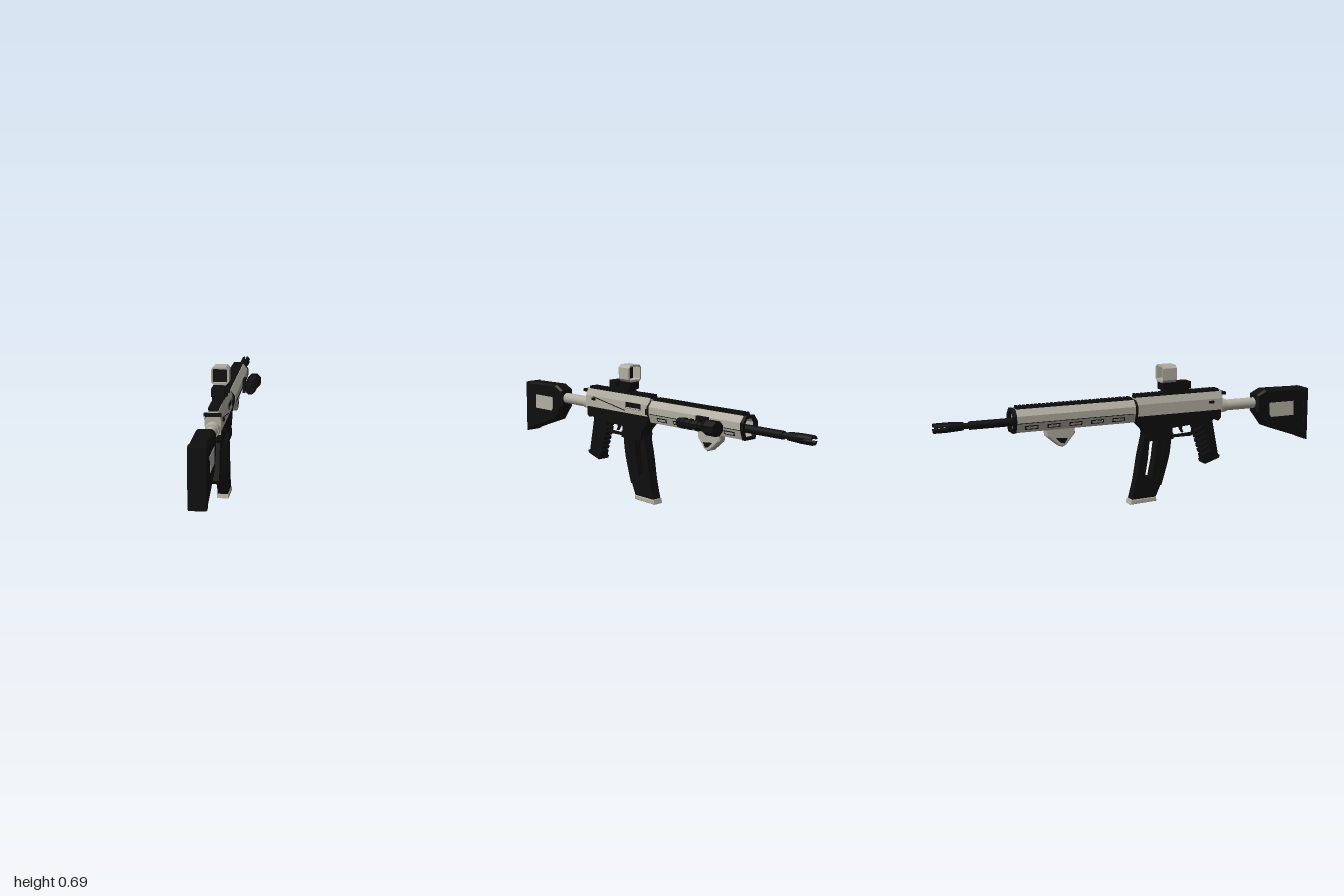
import * as THREE from 'three';

export function createModel() {
  const black = new THREE.MeshStandardMaterial({ color: 0x0e0e0e });
  black.name = 'matte black';
  const grey = new THREE.MeshStandardMaterial({ color: 0xb2aea2 });
  grey.name = 'warm grey';

  const root = new THREE.Group();
  root.name = 'rifle';
  const body = new THREE.Group();
  body.name = 'body';
  body.position.x = -0.042; // the side light offsets the centre line
  root.add(body);

  const add = (name, geo, mat, x = 0, y = 0, z = 0) => {
    const m = new THREE.Mesh(geo, mat);
    m.name = name;
    m.position.set(x, y, z);
    body.add(m);
    return m;
  };
  const poly = (pts) => pts.map(([a, b]) => new THREE.Vector2(a, b));
  const extrude = (pts, depth, holes = [], bevel = 0) => {
    const s = new THREE.Shape(poly(pts));
    holes.forEach((h) => s.holes.push(new THREE.Path(poly(h))));
    return new THREE.ExtrudeGeometry(s, {
      depth: depth - 2 * bevel, bevelEnabled: bevel > 0, bevelSize: bevel,
      bevelThickness: bevel, bevelOffset: -bevel, bevelSegments: 1,
    }).translate(0, 0, bevel);
  };
  // Side profile in (z, y), extruded across x and centred
  const side = (name, pts, width, mat, holes, bevel) =>
    add(name, extrude(pts, width, holes, bevel).translate(0, 0, -width / 2).rotateY(-Math.PI / 2), mat);
  // Cross-section in (x, y), running from z0 to z1
  const run = (name, pts, z0, z1, mat, holes) =>
    add(name, extrude(pts, z1 - z0, holes), mat, 0, 0, z0);
  const box = (name, w, h, d, mat, x, y, z) =>
    add(name, new THREE.BoxGeometry(w, h, d), mat, x, y, z);
  // Cylinder along z between z0 (radius r0) and z1 (radius r1)
  const rod = (name, r0, r1, z0, z1, mat, x, y, sides = 20) => {
    let g = new THREE.CylinderGeometry(r1, r0, z1 - z0, sides).rotateY(Math.PI / sides).rotateX(Math.PI / 2);
    if (sides < 10) {
      g = g.toNonIndexed();
      g.computeVertexNormals();
    }
    return add(name, g, mat, x, y, (z0 + z1) / 2);
  };
  const chamfered = (w, h, c, cy) => [
    [-w + c, cy - h], [w - c, cy - h], [w, cy - h + c], [w, cy + h - c],
    [w - c, cy + h], [-w + c, cy + h], [-w, cy + h - c], [-w, cy - h + c]];

  // Stock with side panels and butt pad
  side('stock', [[0.98, 0.255], [0.985, 0.525], [0.74, 0.53], [0.69, 0.505], [0.69, 0.415], [0.75, 0.335]],
    0.083, black, [], 0.01);
  side('buttPad', [[1, 0.245], [1, 0.52], [0.97, 0.528], [0.97, 0.255]], 0.084, black, [], 0.004);
  side('stockPanel', [[0.91, 0.385], [0.91, 0.46], [0.765, 0.46], [0.765, 0.4], [0.775, 0.385]], 0.087, grey);
  // Tube joining the stock to the receiver
  rod('stockTube', 0.028, 0.028, 0.49, 0.71, grey, 0, 0.46);
  rod('tubeCollar', 0.038, 0.032, 0.48, 0.525, grey, 0, 0.46);

  // Upper receiver
  run('upperReceiver', [[-0.037, 0.435], [0.037, 0.435], [0.037, 0.505], [0.024, 0.54], [-0.024, 0.54], [-0.037, 0.505]],
    0.012, 0.49, grey);
  box('ejectionPort', 0.006, 0.032, 0.11, black, 0.036, 0.488, 0.125);
  box('portDoor', 0.004, 0.006, 0.1, grey, 0.038, 0.476, 0.125);
  box('sideSeam', 0.003, 0.004, 0.25, black, 0.037, 0.48, 0.31).rotation.x = -0.17;
  box('boltCatch', 0.006, 0.03, 0.02, black, 0.037, 0.47, 0.025);
  box('chargingHandle', 0.08, 0.014, 0.02, black, 0, 0.53, 0.497);
  for (const s of [-1, 1]) {
    box('selector', 0.012, 0.012, 0.025, black, s * 0.04, 0.49, 0.425);
    box('pin', 0.01, 0.01, 0.012, black, s * 0.04, 0.425, 0.36);
  }

  // Lower receiver with magazine well
  side('lowerReceiver', [[0.48, 0.447], [0.48, 0.405], [0.465, 0.39], [0.45, 0.405], [0.42, 0.39], [0.205, 0.375],
    [0.205, 0.322], [0.078, 0.322], [0.06, 0.37], [0.025, 0.405], [0.01, 0.447]], 0.076, black);
  side('wellCollar', [[0.21, 0.35], [0.21, 0.318], [0.07, 0.318], [0.062, 0.35]], 0.08, black);
  side('triggerGuard', [[0.35, 0.395], [0.338, 0.335], [0.325, 0.32], [0.2, 0.32], [0.2, 0.395]], 0.026, black,
    [[[0.33, 0.38], [0.32, 0.34], [0.215, 0.335], [0.21, 0.375]]]);
  side('trigger', [[0.285, 0.39], [0.275, 0.36], [0.285, 0.34], [0.275, 0.34], [0.262, 0.36], [0.265, 0.39]], 0.012, black);

  // Pistol grip with finger grooves along its front edge
  const grip = [[0.435, 0.405], [0.475, 0.205], [0.395, 0.175]];
  for (let i = 0; i < 6; i++) {
    const y = 0.215 + i * 0.026, z = 0.385 - i * 0.0085;
    grip.push([z, y], [z + 0.045, y + 0.024], [z + 0.044, y + 0.03], [z - 0.003, y + 0.009]);
  }
  grip.push([0.335, 0.395]);
  side('grip', grip, 0.052, black);
  side('gripCap', [[0.48, 0.21], [0.476, 0.195], [0.396, 0.17], [0.39, 0.185]], 0.066, black);

  // Curved magazine with an open window
  const curve = (pts) => new THREE.SplineCurve(poly(pts)).getPoints(10).map((p) => [p.x, p.y]);
  side('magazine', [
    ...curve([[0.2, 0.34], [0.19, 0.24], [0.16, 0.12], [0.117, 0.02]]),
    ...curve([[-0.01, 0.02], [0.015, 0.12], [0.035, 0.24], [0.058, 0.34]])], 0.052, black,
  [[[0.128, 0.315], [0.085, 0.315], [0.076, 0.22], [0.06, 0.13], [0.098, 0.13], [0.116, 0.22]]]);
  side('magazineSpine', [
    ...curve([[0.204, 0.32], [0.194, 0.24], [0.17, 0.15], [0.15, 0.085]]),
    ...curve([[0.115, 0.085], [0.135, 0.15], [0.155, 0.24], [0.165, 0.32]])], 0.06, black);
  side('magazineFloor', [[0.125, 0.005], [0.12, 0.027], [-0.015, 0.024], [-0.021, 0]], 0.06, grey, [], 0.003);

  // Hollow eight-sided handguard
  const guard = (k, cy = 0.472) => [[-0.034, 0.42], [0.034, 0.42], [0.049, 0.465], [0.049, 0.5], [0.026, 0.53],
    [-0.026, 0.53], [-0.049, 0.5], [-0.049, 0.465]].map(([x, y]) => [x * k, cy + (y - cy) * k]);
  run('handguard', guard(1), -0.615, 0, grey, [guard(0.82)]);
  run('handguardFrontBand', guard(1.04), -0.63, -0.612, black, [guard(0.8)]);
  run('handguardRearBand', guard(0.97), -0.002, 0.014, black);
  for (const s of [-1, 1]) {
    for (let i = 0; i < 5; i++) {
      const z = -0.09 - i * 0.112;
      const rim = box('ventRim', 0.004, 0.02, 0.066, black, s * 0.0417, 0.443, z);
      const slot = box('ventSlot', 0.006, 0.011, 0.054, grey, s * 0.0417, 0.443, z);
      rim.rotation.z = slot.rotation.z = -s * 0.32;
    }
    box('handguardSeam', 0.003, 0.003, 0.6, black, s * 0.0485, 0.465, -0.31);
  }

  // Toothed top rails
  const rail = (z0, z1, y) => {
    box('railBase', 0.044, 0.012, z1 - z0, black, 0, y, (z0 + z1) / 2);
    const n = Math.round((z1 - z0) / 0.02);
    for (let i = 0; i < n; i++) {
      box('railTooth', 0.05, 0.009, 0.011, black, 0, y + 0.009, z0 + (i + 0.5) * (z1 - z0) / n);
    }
  };
  rail(-0.605, -0.005, 0.529);
  rail(0.01, 0.475, 0.541);

  // Barrel and pronged muzzle
  rod('barrel', 0.02, 0.02, -0.83, 0, black, 0, 0.468);
  rod('muzzleNeck', 0.014, 0.014, -0.87, -0.82, black, 0, 0.468);
  rod('muzzleBase', 0.024, 0.02, -0.93, -0.86, black, 0, 0.468);
  for (let i = 0; i < 4; i++) {
    const a = i * Math.PI / 2 + 0.24, b = a + Math.PI / 2 - 0.48;
    const s = new THREE.Shape();
    s.absarc(0, 0, 0.024, a, b, false);
    s.absarc(0, 0, 0.014, b, a, true);
    add('muzzleProng', new THREE.ExtrudeGeometry(s, { depth: 0.075, bevelEnabled: false, curveSegments: 6 }),
      black, 0, 0.468, -1);
  }

  // Optic: clamp, base and square hood
  box('opticClamp', 0.058, 0.022, 0.13, black, 0, 0.56, 0.235);
  box('opticBase', 0.065, 0.036, 0.155, black, 0, 0.585, 0.232);
  box('opticNeck', 0.03, 0.012, 0.06, black, 0, 0.604, 0.19);
  box('opticKnob', 0.018, 0.026, 0.03, black, 0.041, 0.59, 0.25);
  box('clampScrew', 0.01, 0.012, 0.03, black, 0.032, 0.56, 0.235);
  run('opticHood', chamfered(0.043, 0.043, 0.014, 0.648), 0.15, 0.225, grey, [chamfered(0.035, 0.033, 0.004, 0.649)]);
  box('opticLens', 0.07, 0.066, 0.006, black, 0, 0.649, 0.205);

  // Side-mounted light
  const lx = 0.097, ly = 0.465;
  rod('lightHead', 0.038, 0.038, -0.515, -0.455, black, lx, ly, 8);
  rod('lightTaper', 0.038, 0.022, -0.455, -0.42, black, lx, ly, 8);
  rod('lightBody', 0.021, 0.021, -0.425, -0.285, black, lx, ly, 8);
  for (const z of [-0.4, -0.35, -0.31]) rod('lightRing', 0.027, 0.027, z, z + 0.018, black, lx, ly, 8);
  rod('lightTail', 0.026, 0.023, -0.288, -0.262, black, lx, ly, 8);
  box('lightMountPlate', 0.014, 0.07, 0.075, black, 0.056, 0.467, -0.375);
  box('lightMountArm', 0.03, 0.035, 0.05, black, 0.072, 0.465, -0.375);

  // Hand stop under the handguard
  side('handStop', [[-0.31, 0.425], [-0.31, 0.39], [-0.355, 0.338], [-0.375, 0.328], [-0.395, 0.335],
    [-0.455, 0.385], [-0.462, 0.425]], 0.044, grey, [], 0.006);
  side('handStopInset', [[-0.35, 0.37], [-0.41, 0.375], [-0.385, 0.35], [-0.365, 0.345]], 0.047, black);

  return root;
}
